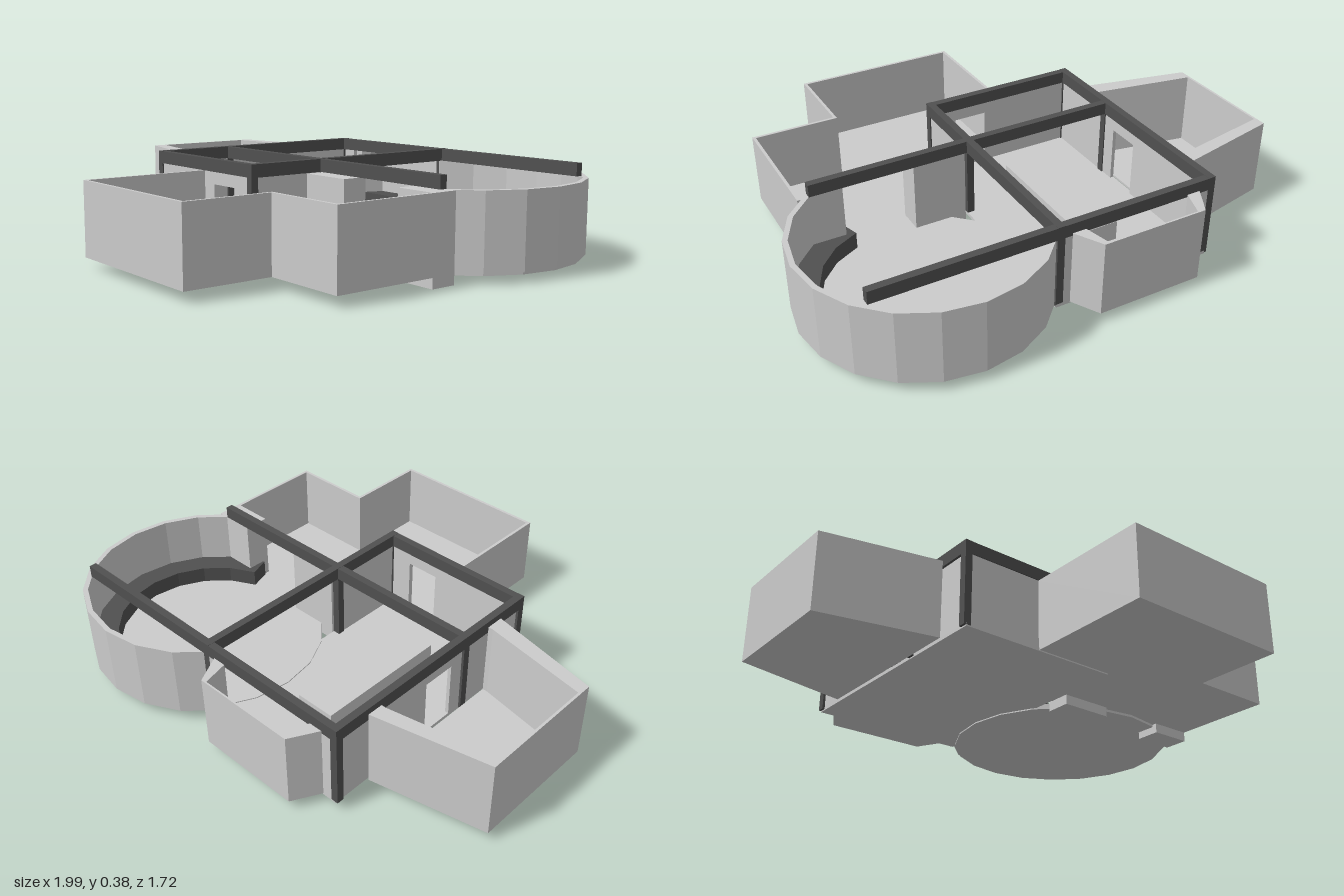
import * as THREE from 'three';

const GREY = 0xcccccc, DARK = 0x505050;
const BASE = 0.04, TOP = 0.33;

export function createModel() {
  const model = new THREE.Group();
  const grey = new THREE.MeshStandardMaterial({ color: GREY, flatShading: true });
  const dark = new THREE.MeshStandardMaterial({ color: DARK, flatShading: true });

  // Upright prism over a plan outline of [x, z] points, with optional hole outlines
  function prism(name, points, y0, y1, material = grey) {
    const shape = new THREE.Shape(points.map(([x, z]) => new THREE.Vector2(x, -z)));
    const geo = new THREE.ExtrudeGeometry(shape, { depth: y1 - y0, bevelEnabled: false });
    geo.rotateX(-Math.PI / 2).translate(0, y0, 0);
    const mesh = new THREE.Mesh(geo, material);
    mesh.name = name;
    model.add(mesh);
  }
  function block(name, x0, x1, z0, z1, y0 = BASE, y1 = TOP, material = grey) {
    const mesh = new THREE.Mesh(new THREE.BoxGeometry(x1 - x0, y1 - y0, z1 - z0), material);
    mesh.position.set((x0 + x1) / 2, (y0 + y1) / 2, (z0 + z1) / 2);
    mesh.name = name;
    model.add(mesh);
  }
  // Plan points on the round room, angle measured from the back towards +x
  const cx = 0.51, cz = -0.38, step = Math.PI / 10;
  function arc(r, from, to) {
    const pts = [];
    for (let i = from; i <= to; i++) pts.push([cx + r * Math.sin(i * step), cz - r * Math.cos(i * step)]);
    return pts;
  }
  const ring = (r0, r1, from, to) => [...arc(r1, from, to), ...arc(r0, from, to).reverse()];

  // Main room
  block('mainFloor', -0.53, 0.14, -0.69, 0.34, 0.035, 0.048);
  const doorway = { low: -0.22, high: -0.08, head: 0.28 };
  block('sideWallBack', -0.53, -0.515, -0.66, doorway.low);
  block('sideWallFront', -0.53, -0.515, doorway.high, 0.31);
  block('sideDoorLintel', -0.53, -0.515, doorway.low, doorway.high, doorway.head, TOP);
  block('frontWallRight', -0.51, -0.12, 0.315, 0.335);
  block('frontWallLeft', 0.02, 0.11, 0.315, 0.335);
  block('frontDoorLintel', -0.12, 0.02, 0.315, 0.335, 0.28, TOP);
  block('frontDoorSill', -0.12, 0.02, 0.315, 0.335, BASE, 0.06);
  block('partitionWall', 0.115, 0.135, 0.01, 0.31);
  block('backWallRight', -0.51, -0.45, -0.69, -0.67);
  block('backWallLeft', 0.05, 0.11, -0.69, -0.67);
  block('longTable', -0.28, -0.11, -0.46, 0.11, 0.045, 0.13);

  // Dark timber frame: beams and posts
  for (const [x0, x1, z] of [[-0.54, 0.845, -0.675], [-0.54, 0.79, -0.005], [-0.54, 0.14, 0.325]]) {
    block('crossBeam', x0, x1, z - 0.015, z + 0.015, TOP, 0.38, dark);
  }
  for (const x of [-0.525, 0.125]) {
    block('longBeam', x - 0.015, x + 0.015, -0.69, 0.34, TOP, 0.381, dark);
    for (const z of [-0.675, -0.005, 0.325]) {
      block('post', x - 0.015, x + 0.015, z - 0.015, z + 0.015, BASE, TOP, dark);
    }
  }

  // Round room with curved bench
  prism('roundFloor', arc(0.47, 0, 19), 0.03, 0.052);
  prism('roundWall', ring(0.46, 0.48, -3, 8), BASE, TOP);
  prism('curvedBench', ring(0.37, 0.46, -3, 9), 0.05, 0.12, dark);

  // Thick wall piers beside the opening between the round room and the front room
  block('innerPier', 0.15, 0.37, -0.02, 0.085, 0, TOP);
  block('outerPier', 0.66, 0.835, -0.02, 0.085, 0, TOP);

  // Bay at the back with its seat
  prism('bayFloor', [[-0.47, -0.69], [-0.41, -0.8], [0.02, -0.8], [0.08, -0.69]], BASE, 0.048);
  prism('bayWallRight', [[-0.47, -0.69], [-0.41, -0.8], [-0.38, -0.795], [-0.415, -0.69]], BASE, 0.34);
  prism('bayWallLeft', [[0.08, -0.69], [0.02, -0.8], [0.0, -0.795], [0.025, -0.69]], BASE, 0.34);
  block('bayBackWall', -0.41, 0.02, -0.8, -0.793, BASE, 0.34);
  prism('baySeat', [[-0.41, -0.7], [-0.38, -0.793], [0.0, -0.793], [0.022, -0.7]], 0.045, 0.13, dark);

  // Tapered side room
  const sideTop = 0.355;
  prism('sideFloor', [[-0.54, -0.535], [-1, -0.437], [-1, 0.095], [-0.54, 0.195]], BASE, 0.048);
  prism('sideRoomBackWall', [[-0.54, -0.535], [-1, -0.437], [-0.99, -0.39], [-0.56, -0.47], [-0.54, -0.47]], BASE, sideTop);
  prism('sideRoomFrontWall', [[-0.54, 0.195], [-1, 0.095], [-0.99, 0.043], [-0.56, 0.12], [-0.54, 0.12]], BASE, sideTop);
  block('sideRoomEndWall', -1, -0.99, -0.437, 0.095, BASE, sideTop);

  // Stepped front room
  prism('frontFloor', [[-0.2, 0.335], [-0.2, 0.855], [0.49, 0.855], [0.49, 0.505], [0.835, 0.505], [0.835, 0], [0.14, 0], [0.14, 0.335]], BASE, 0.05);
  const t = 0.012;
  prism('frontRoomWall', [
    [-0.2, 0.335], [-0.2, 0.855], [0.49, 0.855], [0.49, 0.505], [0.835, 0.505], [0.835, 0],
    [0.835 - t, 0], [0.835 - t, 0.505 - t], [0.49 - t, 0.505 - t], [0.49 - t, 0.855 - t], [-0.2 + t, 0.855 - t], [-0.2 + t, 0.335],
  ], BASE, TOP);

  return model;
}
